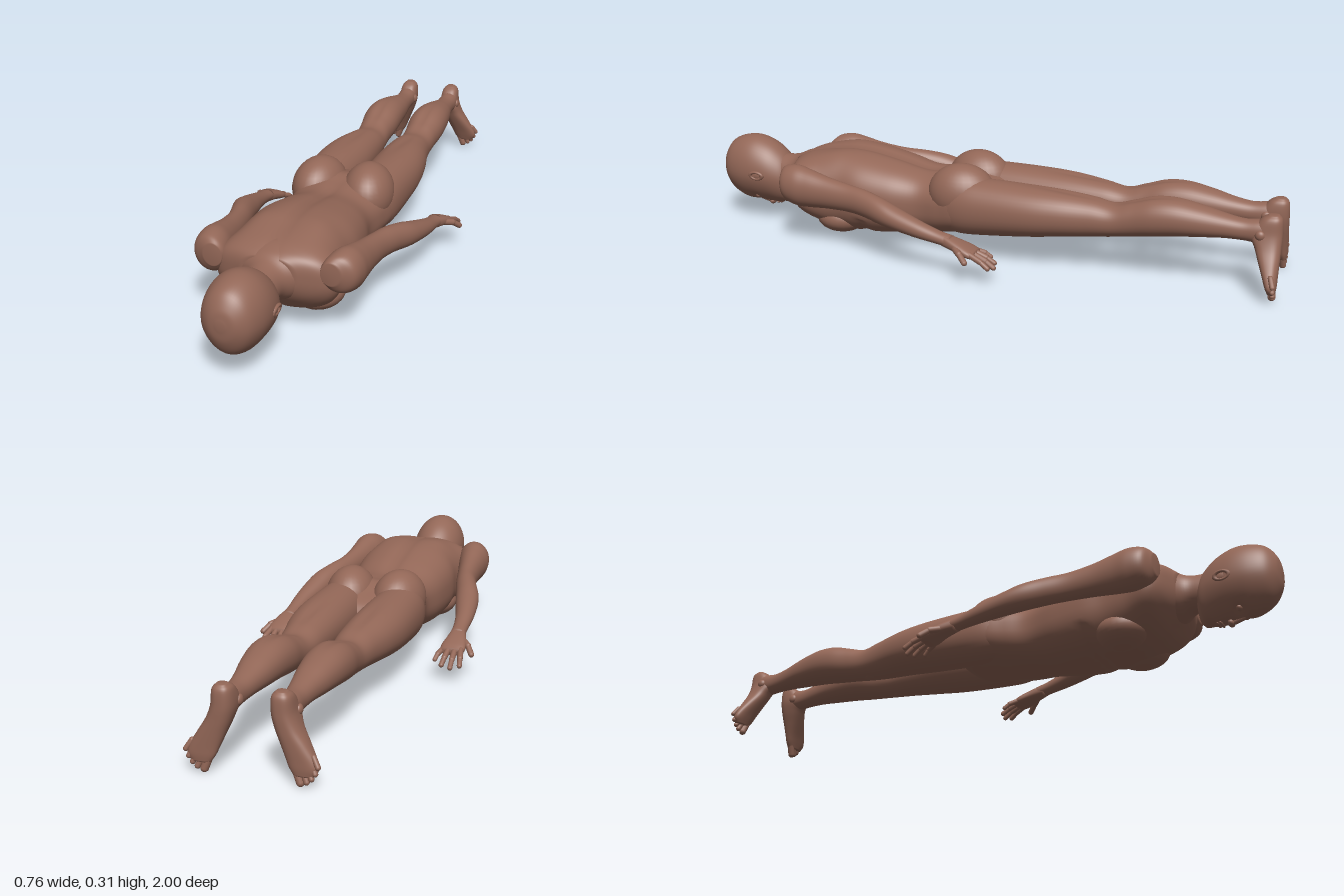
import * as THREE from 'three';

const skin = new THREE.MeshStandardMaterial({ color: 0x936757 });
skin.name = 'brown skin';

const gauss = (d, w) => Math.exp(-(d * d) / (w * w));

// Smooth closed loft. Each section: [position on axis, centre x, high side, low side, half width].
// Axis 'z' measures high/low in y; axis 'y' measures them in z.
function loft(sections, { axis = 'z', power = 2, sculpt, sides = 40, steps = 6 } = {}) {
  const mid = new THREE.CatmullRomCurve3(
    sections.map(([a, x, hi, lo]) => new THREE.Vector3(a, x, (hi + lo) / 2)), false, 'catmullrom', 0.5);
  const size = new THREE.CatmullRomCurve3(
    sections.map(([, , hi, lo, r]) => new THREE.Vector3(r, (hi - lo) / 2, 0)), false, 'catmullrom', 0.5);
  const rows = (sections.length - 1) * steps;
  const pos = [], idx = [];
  const put = (a, u, v) => {
    const p = axis === 'z' ? new THREE.Vector3(u, v, a) : new THREE.Vector3(u, a, v);
    if (sculpt) sculpt(p);
    pos.push(p.x, p.y, p.z);
  };
  const bend = (c) => Math.sign(c) * Math.pow(Math.abs(c), 2 / power);
  const turn = axis === 'z' ? 1 : -1;
  for (let i = 0; i <= rows; i++) {
    const c = mid.getPoint(i / rows), s = size.getPoint(i / rows);
    for (let j = 0; j < sides; j++) {
      const t = (j / sides) * Math.PI * 2;
      put(c.x, c.y + s.x * bend(Math.cos(t)), c.z + turn * s.y * bend(Math.sin(t)));
    }
  }
  const flip = sections[0][0] > sections[sections.length - 1][0];
  const tri = (a, b, c) => (flip ? idx.push(a, c, b) : idx.push(a, b, c));
  for (let i = 0; i < rows; i++) {
    for (let j = 0; j < sides; j++) {
      const k = (j + 1) % sides, a = i * sides + j, b = i * sides + k;
      tri(a, b, a + sides);
      tri(b, b + sides, a + sides);
    }
  }
  const first = (rows + 1) * sides;
  for (const t of [0, 1]) {
    const c = mid.getPoint(t);
    put(c.x, c.y, c.z);
  }
  for (let j = 0; j < sides; j++) {
    const k = (j + 1) % sides;
    tri(first, k, j);
    tri(first + 1, rows * sides + j, rows * sides + k);
  }
  const g = new THREE.BufferGeometry();
  g.setAttribute('position', new THREE.Float32BufferAttribute(pos, 3));
  g.setIndex(idx);
  g.computeVertexNormals();
  return g;
}

function ellipsoid([x, y, z], [rx, ry, rz], tiltY = 0) {
  return new THREE.SphereGeometry(1, 28, 20).scale(rx, ry, rz).rotateY(tiltY).translate(x, y, z);
}

function capsule(from, to, r) {
  const a = new THREE.Vector3(...from), b = new THREE.Vector3(...to);
  const dir = b.clone().sub(a), g = new THREE.CapsuleGeometry(r, dir.length(), 6, 12);
  g.applyQuaternion(new THREE.Quaternion().setFromUnitVectors(new THREE.Vector3(0, 1, 0), dir.normalize()));
  return g.translate(...a.add(b).multiplyScalar(0.5).toArray());
}

function mirrored(geometry) {
  const g = geometry.clone().scale(-1, 1, 1), a = g.index.array;
  for (let i = 0; i < a.length; i += 3) [a[i + 1], a[i + 2]] = [a[i + 2], a[i + 1]];
  return g;
}

export function createModel() {
  const model = new THREE.Group();
  model.name = 'proneFigure';
  const add = (name, g) => {
    const m = new THREE.Mesh(g, skin);
    m.name = name;
    model.add(m);
  };
  const pair = (name, g) => {
    add(name + 'Left', g);
    add(name + 'Right', mirrored(g));
  };

  // Torso with spinal furrow, shoulder blades and the midline of the chest and belly
  add('torso', loft([
    [0.69, 0, 0.26, 0.15, 0.08], [0.66, 0, 0.275, 0.11, 0.165], [0.62, 0, 0.288, 0.07, 0.192],
    [0.55, 0, 0.3, 0.036, 0.182], [0.48, 0, 0.308, 0.026, 0.175], [0.4, 0, 0.304, 0.024, 0.18],
    [0.3, 0, 0.285, 0.03, 0.168], [0.2, 0, 0.262, 0.046, 0.146], [0.12, 0, 0.265, 0.056, 0.16],
    [0.05, 0, 0.272, 0.068, 0.176], [-0.02, 0, 0.25, 0.08, 0.175], [-0.08, 0, 0.225, 0.09, 0.14],
    [-0.11, 0, 0.19, 0.12, 0.07]], {
    power: 2.5, sides: 72,
    sculpt: (p) => {
      const x = Math.abs(p.x);
      if (p.y > 0.2) {
        p.y -= 0.012 * gauss(x, 0.022) * gauss(p.z - 0.35, 0.3);
        p.y += 0.01 * gauss(x - 0.1, 0.05) * gauss(p.z - 0.52, 0.08);
      } else if (p.y < 0.1) {
        p.y += 0.008 * gauss(x, 0.015) * gauss(p.z - 0.4, 0.25);
        p.y += 0.008 * gauss(p.z - 0.4, 0.018);
      }
    },
  }));
  pair('chestMuscle', ellipsoid([0.085, 0.078, 0.5], [0.083, 0.055, 0.09]));
  pair('buttock', ellipsoid([0.086, 0.213, 0.05], [0.087, 0.1, 0.115], 0.15));

  // Neck flaring into the shoulders
  add('neck', loft([
    [0.84, 0, 0.255, 0.13, 0.055], [0.76, 0, 0.25, 0.128, 0.058], [0.71, 0, 0.256, 0.13, 0.066],
    [0.67, 0, 0.273, 0.115, 0.105], [0.62, 0, 0.284, 0.1, 0.15], [0.58, 0, 0.28, 0.12, 0.13]]));

  // Head, face downward, narrowing toward the jaw, with eye sockets
  add('head', loft([
    [1, 0, 0.215, 0.19, 0.012], [0.992, 0, 0.25, 0.145, 0.044], [0.965, 0, 0.288, 0.1, 0.074],
    [0.92, 0, 0.307, 0.075, 0.091], [0.87, 0, 0.31, 0.068, 0.096], [0.82, 0, 0.294, 0.068, 0.091],
    [0.78, 0, 0.268, 0.066, 0.079], [0.75, 0, 0.235, 0.07, 0.062], [0.735, 0, 0.19, 0.085, 0.035]], {
    sides: 56,
    sculpt: (p) => {
      if (p.y > 0.18) return;
      p.x *= 1 - 0.18 * Math.pow((0.18 - p.y) / 0.12, 1.4);
      p.y += 0.014 * gauss(Math.abs(p.x) - 0.034, 0.02) * gauss(p.z - 0.868, 0.018);
      p.y += 0.007 * gauss(p.z - 0.768, 0.012) * gauss(p.x, 0.03);
    },
  }));
  add('noseBridge', capsule([0, 0.075, 0.868], [0, 0.066, 0.832], 0.009));
  add('noseTip', ellipsoid([0, 0.066, 0.828], [0.017, 0.013, 0.011]));
  add('upperLip', ellipsoid([0, 0.069, 0.798], [0.023, 0.007, 0.006]));
  add('lowerLip', ellipsoid([0, 0.07, 0.788], [0.02, 0.007, 0.006]));
  pair('eye', ellipsoid([0.033, 0.094, 0.867], [0.014, 0.011, 0.01]));
  const ear = new THREE.TorusGeometry(0.018, 0.006, 10, 24).scale(0.75, 1.25, 1)
    .rotateX(Math.PI / 2).rotateZ(Math.PI / 2 - 0.2).translate(0.093, 0.185, 0.838);
  pair('ear', ear);
  pair('earInner', ellipsoid([0.089, 0.185, 0.838], [0.006, 0.014, 0.022]));

  // Arm from shoulder to wrist, then the palm
  pair('arm', loft([
    [0.668, 0.185, 0.26, 0.19, 0.03], [0.645, 0.202, 0.278, 0.16, 0.053], [0.6, 0.21, 0.285, 0.145, 0.057],
    [0.55, 0.215, 0.275, 0.145, 0.05], [0.48, 0.222, 0.258, 0.15, 0.041], [0.4, 0.233, 0.245, 0.152, 0.036],
    [0.33, 0.25, 0.238, 0.148, 0.038], [0.26, 0.272, 0.224, 0.138, 0.041], [0.2, 0.285, 0.204, 0.13, 0.039],
    [0.12, 0.298, 0.177, 0.119, 0.031], [0.05, 0.303, 0.154, 0.11, 0.025], [0, 0.305, 0.142, 0.102, 0.026]]));
  pair('palm', loft([
    [0.03, 0.304, 0.148, 0.106, 0.022], [-0.02, 0.308, 0.133, 0.095, 0.033],
    [-0.06, 0.308, 0.117, 0.083, 0.041], [-0.085, 0.307, 0.104, 0.08, 0.036]], { power: 2.4 }));

  // Fingers: knuckle, joint and tip, ordered from the little finger; the thumb points outward
  const fingers = [
    [[0.276, 0.095, -0.07], [0.266, 0.085, -0.098], [0.261, 0.071, -0.116], 0.0085],
    [[0.296, 0.097, -0.075], [0.292, 0.08, -0.112], [0.289, 0.063, -0.138], 0.0095],
    [[0.317, 0.097, -0.075], [0.319, 0.078, -0.118], [0.32, 0.059, -0.146], 0.0095],
    [[0.336, 0.099, -0.07], [0.344, 0.083, -0.11], [0.349, 0.066, -0.136], 0.0095],
    [[0.322, 0.115, -0.01], [0.353, 0.104, -0.042], [0.371, 0.084, -0.067], 0.011]];
  fingers.forEach(([base, joint, tip, r], i) => {
    const name = i === 4 ? 'thumb' : 'finger' + (i + 1);
    pair(name + 'Base', capsule(base, joint, r));
    pair(name + 'Tip', capsule(joint, tip, r * 0.88));
  });

  // Leg from hip to ankle, with the split calf muscle and hollow behind the knee
  pair('leg', loft([
    [0.12, 0.095, 0.25, 0.09, 0.06], [0.04, 0.1, 0.27, 0.08, 0.08], [-0.06, 0.1, 0.272, 0.086, 0.088],
    [-0.2, 0.1, 0.268, 0.1, 0.09], [-0.3, 0.096, 0.262, 0.112, 0.083], [-0.4, 0.088, 0.25, 0.122, 0.069],
    [-0.47, 0.087, 0.238, 0.13, 0.06], [-0.53, 0.089, 0.255, 0.138, 0.06], [-0.6, 0.09, 0.276, 0.148, 0.067],
    [-0.67, 0.09, 0.279, 0.158, 0.065], [-0.75, 0.088, 0.265, 0.165, 0.055], [-0.82, 0.086, 0.248, 0.17, 0.042],
    [-0.88, 0.086, 0.238, 0.17, 0.034], [-0.93, 0.087, 0.242, 0.168, 0.034], [-0.975, 0.087, 0.245, 0.18, 0.03]], {
    power: 2.15,
    sculpt: (p) => {
      if (p.y > 0.2) p.y -= 0.007 * gauss(p.x - 0.09, 0.014) * (gauss(p.z + 0.58, 0.08) + gauss(p.z + 0.3, 0.1));
    },
  }));
  pair('kneecap', ellipsoid([0.088, 0.147, -0.45], [0.032, 0.022, 0.04]));

  // Foot hanging from the heel, turned outward, with a flat sole facing back
  pair('foot', loft([
    [0.262, 0.086, -0.955, -0.985, 0.015], [0.245, 0.086, -0.93, -0.997, 0.029],
    [0.2, 0.088, -0.9, -1, 0.035], [0.16, 0.1, -0.918, -1, 0.037], [0.12, 0.12, -0.936, -1, 0.041],
    [0.08, 0.14, -0.954, -1, 0.044], [0.055, 0.149, -0.964, -1, 0.042], [0.035, 0.15, -0.972, -0.998, 0.03]],
  { axis: 'y', power: 2.5 }));
  pair('ankleBoneOuter', ellipsoid([0.118, 0.2, -0.935], [0.012, 0.016, 0.016]));
  pair('ankleBoneInner', ellipsoid([0.056, 0.203, -0.93], [0.01, 0.016, 0.016]));
  const toes = [
    [[0.124, 0.055], [0.14, 0.014], 0.012], [[0.143, 0.055], [0.159, 0.019], 0.0085],
    [[0.157, 0.062], [0.173, 0.03], 0.008], [[0.17, 0.073], [0.184, 0.046], 0.008],
    [[0.177, 0.09], [0.192, 0.066], 0.008]];
  toes.forEach(([a, b, r], i) =>
    pair('toe' + (i + 1), capsule([...a, -0.982], [...b, -0.999 + r], r)));

  return model;
}
